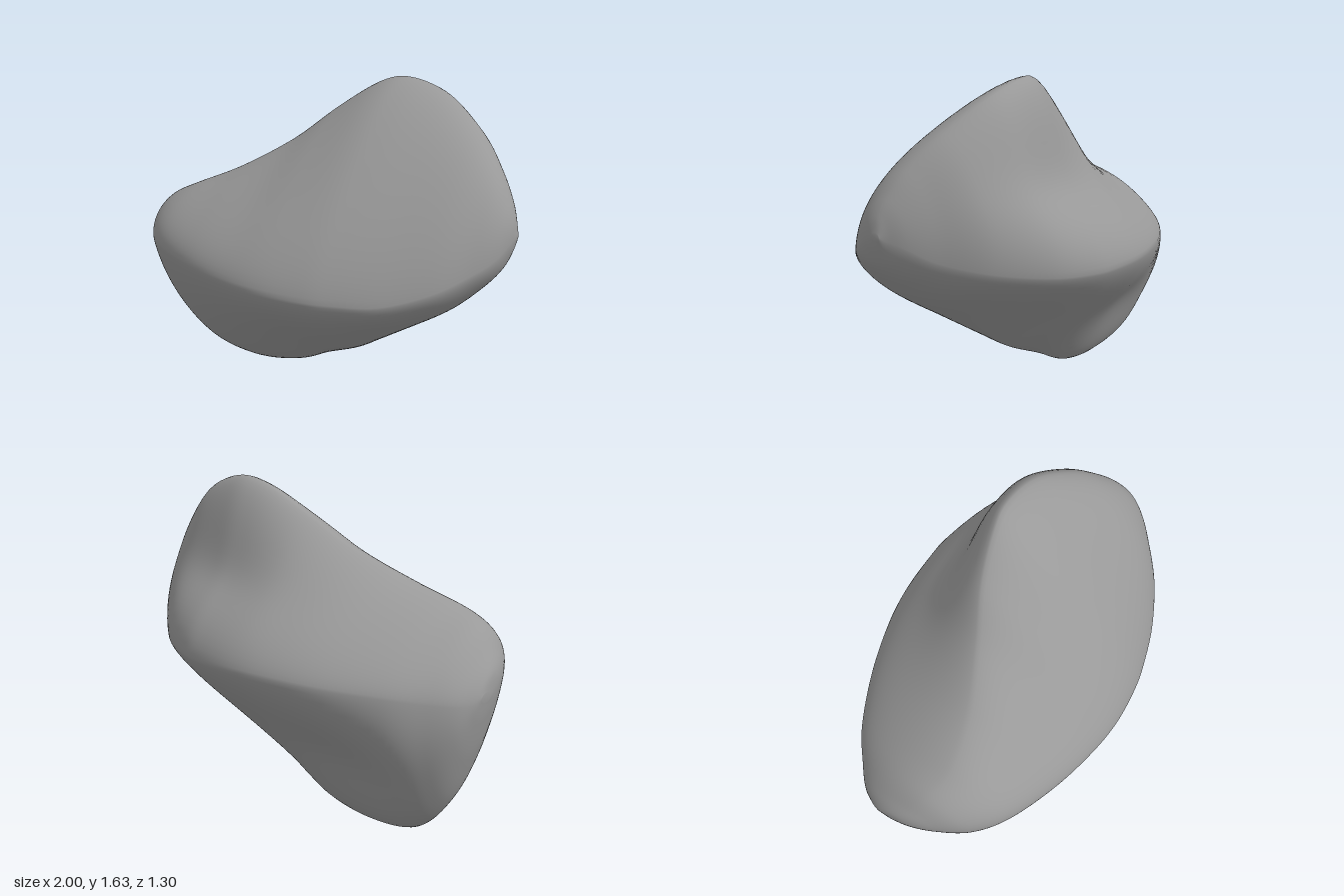
import * as THREE from 'three';

// Cross-sections along x: [x, topY, bottomY, frontZ, backZ, topZ, bottomZ, frontY, backY]
const STATIONS = [
  [-1.00, 0.74, 0.70, -0.04, -0.12, -0.08, -0.08, 0.72, 0.72],
  [-0.985, 0.81, 0.60, 0.06, -0.165, -0.03, -0.08, 0.75, 0.70],
  [-0.94, 0.88, 0.42, 0.18, -0.24, 0.03, -0.09, 0.76, 0.70],
  [-0.85, 0.975, 0.20, 0.33, -0.32, 0.08, -0.10, 0.77, 0.71],
  [-0.70, 1.05, 0.04, 0.45, -0.43, 0.12, -0.12, 0.78, 0.73],
  [-0.45, 1.16, 0.00, 0.555, -0.545, 0.07, -0.12, 0.77, 0.75],
  [-0.20, 1.31, 0.045, 0.62, -0.62, -0.04, -0.12, 0.76, 0.77],
  [0.00, 1.475, 0.15, 0.645, -0.65, -0.14, -0.09, 0.755, 0.78],
  [0.20, 1.605, 0.25, 0.635, -0.645, -0.20, -0.05, 0.75, 0.79],
  [0.35, 1.63, 0.355, 0.605, -0.62, -0.22, -0.01, 0.75, 0.80],
  [0.55, 1.57, 0.50, 0.54, -0.53, -0.19, 0.03, 0.76, 0.82],
  [0.75, 1.43, 0.645, 0.43, -0.36, -0.09, 0.07, 0.82, 0.86],
  [0.88, 1.29, 0.77, 0.31, -0.17, 0.00, 0.08, 0.89, 0.91],
  [0.95, 1.18, 0.86, 0.225, -0.06, 0.05, 0.08, 0.94, 0.97],
  [0.985, 1.10, 0.94, 0.15, 0.02, 0.07, 0.08, 0.99, 1.00],
  [1.00, 1.03, 1.00, 0.09, 0.05, 0.07, 0.07, 1.015, 1.015],
];

// Smooth blend of the stations at parameter t in 0..1
function sample(t) {
  const last = STATIONS.length - 1;
  const i = Math.min(Math.floor(t * last), last - 1);
  const f = t * last - i;
  const at = (k) => STATIONS[THREE.MathUtils.clamp(k, 0, last)];
  return at(i).map((b, c) => {
    const a = at(i - 1)[c], d = at(i + 1)[c], e = at(i + 2)[c];
    return b + 0.5 * f * (d - a + f * (2 * a - 5 * b + 4 * d - e + f * (3 * (b - d) + e - a)));
  });
}

const bell = (x, middle) => Math.exp(-(((x - middle) / 0.42) ** 2));

// Rounded diamond ring through the top, front, bottom and back corners
function ring(t, sides) {
  const [x, topY, bottomY, frontZ, backZ, topZ, bottomZ, frontY, backY] = sample(t);
  const corners = [[topZ, topY], [frontZ, frontY], [bottomZ, bottomY], [backZ, backY]]
    .map(([z, y]) => new THREE.Vector2(z, y));
  const [top, front, bottom, back] = corners;
  // The diagonals cross at the section centre
  const down = bottom.clone().sub(top), across = back.clone().sub(front);
  const s = front.clone().sub(top).cross(across) / down.cross(across);
  const centre = top.clone().addScaledVector(down, s);
  const arms = corners.map((c) => c.clone().sub(centre));
  // Diamond with rounded corners in the middle, oval towards both ends
  const power = 2 / (1.5 + 0.45 * x * x);
  // Nearly flat faces, with a hollow behind the peak and one behind the foot
  const flat = 0.07 * (1 - x * x);
  const hollows = [flat, flat, flat + 0.13 * bell(x, -0.4), flat + 0.2 * bell(x, 0.3)];
  const points = [];
  for (let j = 0; j < sides; j++) {
    const turn = (j / sides) * 4, q = Math.floor(turn);
    const angle = (turn - q) * Math.PI / 2;
    const scale = 1 - hollows[q] * Math.sin(2 * angle) ** 2;
    const p = centre.clone()
      .addScaledVector(arms[q], Math.cos(angle) ** power * scale)
      .addScaledVector(arms[(q + 1) % 4], Math.sin(angle) ** power * scale);
    points.push(x, p.y, p.x);
  }
  return points;
}

function boulderGeometry(rings = 120, sides = 96) {
  const positions = [], index = [];
  for (let i = 0; i <= rings; i++) {
    for (const v of ring(i / rings, sides)) positions.push(v);
  }
  for (let i = 0; i < rings; i++) {
    for (let j = 0; j < sides; j++) {
      const a = i * sides + j, b = i * sides + (j + 1) % sides;
      index.push(a, b, a + sides, b, b + sides, a + sides);
    }
  }
  // Close both tips
  const left = positions.length / 3, right = left + 1, end = rings * sides;
  positions.push(-1.001, 0.72, -0.08, 1.001, 1.015, 0.07);
  for (let j = 0; j < sides; j++) {
    const k = (j + 1) % sides;
    index.push(left, k, j, right, end + j, end + k);
  }
  const geometry = new THREE.BufferGeometry();
  geometry.setAttribute('position', new THREE.Float32BufferAttribute(positions, 3));
  geometry.setIndex(index);
  geometry.computeVertexNormals();
  return geometry;
}

export function createModel() {
  const group = new THREE.Group();
  group.name = 'rock';
  const boulder = new THREE.Mesh(boulderGeometry(), new THREE.MeshStandardMaterial({ color: 0x999999 }));
  boulder.name = 'boulder';
  group.add(boulder);
  return group;
}
